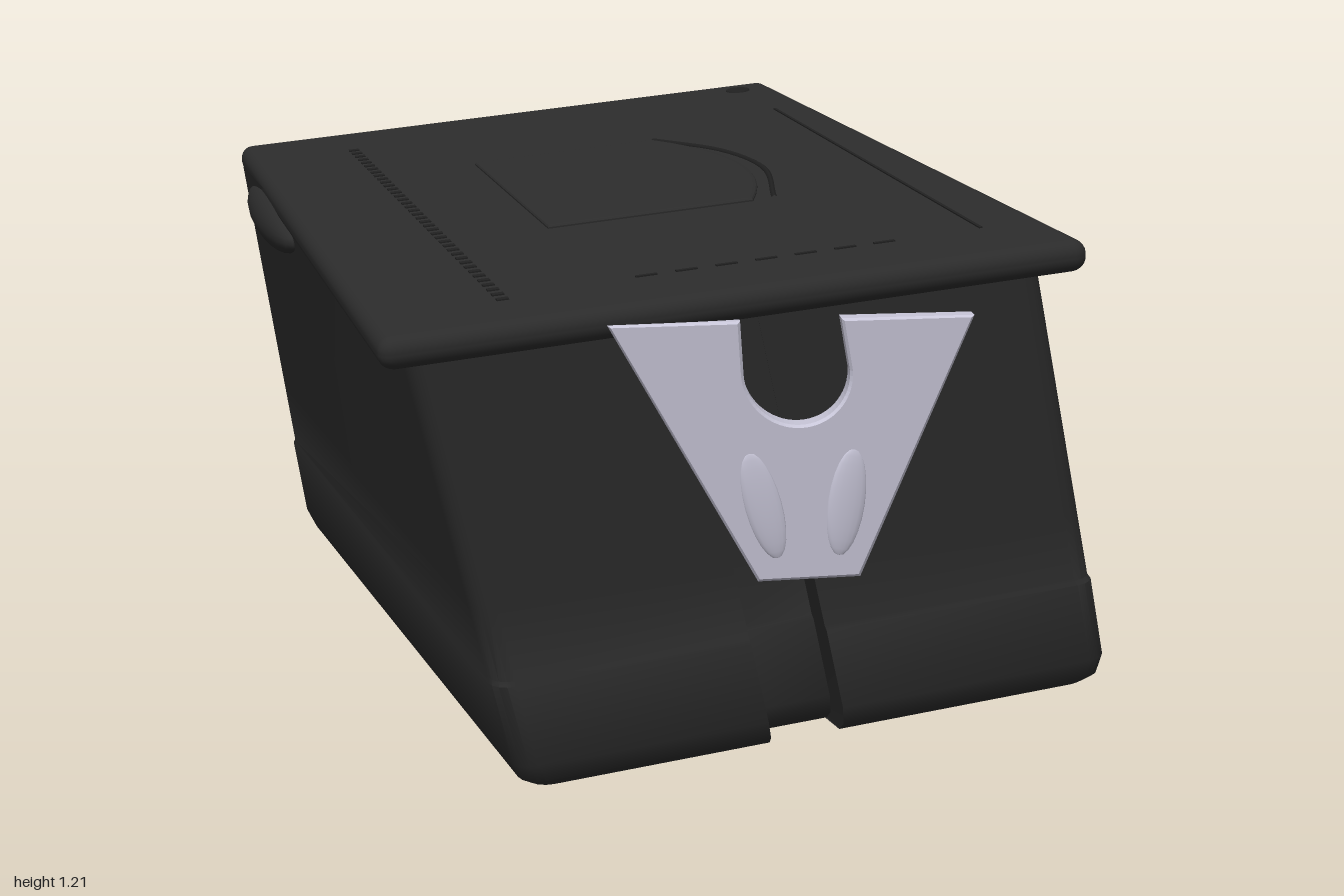
import * as THREE from 'three';
import { toCreasedNormals } from 'three/addons/utils/BufferGeometryUtils.js';
import { RoundedBoxGeometry } from 'three/addons/geometries/RoundedBoxGeometry.js';

const V = (x, y, z) => new THREE.Vector3(x, y, z);

// Body corners: front right, front left, back left, back right
const TOP = [V(-0.40, 0.82, 0.95), V(0.73, 0.95, 0.69), V(0.30, 1.16, -0.92), V(-0.88, 1.03, -0.61)];
const BOTTOM = [V(-0.20, -0.01, 0.82), V(0.905, 0.125, 0.525), V(0.45, 0.30, -1.015), V(-0.75, 0.195, -0.68)];

// Point in the tilted box: u and w run -1..1 across it, v runs 0..1 downwards
function bodyPoint(u, w, v) {
  const c = TOP.map((t, i) => t.clone().lerp(BOTTOM[i], v));
  const front = c[0].lerp(c[1], (u + 1) / 2);
  const back = c[3].lerp(c[2], (u + 1) / 2);
  return back.lerp(front, (w + 1) / 2);
}

// Rounded rectangle with a notch in its front and back edges
function outline(notch) {
  const pts = [];
  const corner = (sx, sz, start) => {
    for (let i = 0; i <= 4; i++) {
      const a = start - (i / 4) * Math.PI / 2;
      pts.push([sx * 0.93 + 0.07 * Math.cos(a), sz * 0.95 + 0.05 * Math.sin(a)]);
    }
  };
  const cut = (c, s) => {
    const h = 0.125 * s;
    pts.push([c - h, s], [c - h, s * (1 - notch)], [c + h, s * (1 - notch)], [c + h, s]);
  };
  corner(-1, 1, Math.PI);
  cut(-0.05, 1);
  corner(1, 1, Math.PI / 2);
  corner(1, -1, 0);
  cut(0, -1);
  corner(-1, -1, -Math.PI / 2);
  return pts;
}

function bodyGeometry() {
  // height, scale, notch depth; the last two rings form the underside recess
  const levels = [[-0.02, 1, 0.001], [0.57, 1, 0.001], [0.58, 1, 0.08], [0.735, 1, 0.08], [0.745, 1.006, 0.08],
    [0.93, 1.004, 0.08], [0.975, 0.985, 0.08], [1, 0.95, 0.08], [1, 0.86, 0.08], [0.97, 0.82, 0.08]];
  const pos = [], index = [];
  let n = 0;
  for (const [v, s, notch] of levels) {
    const ring = outline(notch);
    n = ring.length;
    for (const [u, w] of ring) pos.push(...bodyPoint(u * s, w * s, v).toArray());
  }
  for (let l = 0; l < levels.length - 1; l++) {
    for (let i = 0; i < n; i++) {
      const a = l * n + i, b = l * n + (i + 1) % n;
      index.push(a + n, b + n, b, a + n, b, a);
    }
  }
  const last = (levels.length - 1) * n, centre = pos.length / 3;
  pos.push(...bodyPoint(0, 0, 0.97).toArray());
  for (let i = 0; i < n; i++) index.push(centre, last + (i + 1) % n, last + i);
  const g = new THREE.BufferGeometry();
  g.setAttribute('position', new THREE.Float32BufferAttribute(pos, 3));
  g.setIndex(index);
  return toCreasedNormals(g, 0.6);
}

// Rounded slab whose back edge is a little narrower and skewed
function lidGeometry() {
  const g = new RoundedBoxGeometry(1.295, 0.06, 1.775, 3, 0.028);
  const p = g.attributes.position;
  for (let i = 0; i < p.count; i++) {
    const t = 0.5 - p.getZ(i) / 1.775;
    p.setX(i, p.getX(i) - t * (0.035 + 0.035 * p.getX(i)));
  }
  return g;
}

// V-shaped plate with a rounded cut-out in its top edge
function claspShape() {
  const s = new THREE.Shape();
  s.moveTo(-0.32, 0);
  s.lineTo(-0.09, -0.465);
  s.lineTo(0.09, -0.465);
  s.lineTo(0.32, 0);
  s.lineTo(0.09, 0);
  s.lineTo(0.1, -0.09);
  s.absarc(0, -0.09, 0.1, 0, Math.PI, true);
  s.lineTo(-0.1, 0);
  s.closePath();
  return s;
}

export function createModel() {
  const model = new THREE.Group();
  const charcoal = new THREE.MeshStandardMaterial({ color: 0x2b2b2b });
  charcoal.name = 'charcoal';
  const silver = new THREE.MeshStandardMaterial({ color: 0xc8c6d8 });
  silver.name = 'silver';
  const black = new THREE.MeshStandardMaterial({ color: 0x202020 });
  black.name = 'black';

  const add = (parent, name, geo, mat, x = 0, y = 0, z = 0) => {
    const m = new THREE.Mesh(geo, mat);
    m.name = name;
    m.position.set(x, y, z);
    parent.add(m);
    return m;
  };

  add(model, 'body', bodyGeometry(), charcoal);

  // Frame of the tilted lid
  const right = V(1.22, 0.14, -0.30).normalize();
  const up = right.clone().cross(V(-0.45, 0.23, -1.66)).normalize();
  const front = right.clone().cross(up);
  const tilt = new THREE.Matrix4().makeBasis(right, up, front);

  // Lid, with its origin on the upper surface
  const lid = new THREE.Group();
  lid.name = 'lid';
  lid.quaternion.setFromRotationMatrix(tilt);
  lid.position.set(-0.035, 1.036, 0.014);
  model.add(lid);
  add(lid, 'lidPlate', lidGeometry(), charcoal, 0, -0.03, 0);

  // Raised panel with one curved side, beside a shallow ridge
  const panel = new THREE.Shape();
  panel.moveTo(-0.2, -0.265);
  panel.lineTo(0.2, -0.265);
  panel.quadraticCurveTo(0.35, 0.05, 0.17, 0.36);
  panel.lineTo(-0.21, 0.36);
  panel.closePath();
  const panelGeo = new THREE.ExtrudeGeometry(panel, {
    depth: 0.003, bevelThickness: 0.004, bevelSize: 0.008, bevelSegments: 2, curveSegments: 12 });
  panelGeo.rotateX(-Math.PI / 2);
  add(lid, 'lidPanel', panelGeo, charcoal);
  const ridge = new THREE.CatmullRomCurve3([V(0.18, 0, -0.38), V(0.28, 0, -0.2), V(0.31, 0, 0), V(0.25, 0, 0.27)]);
  add(lid, 'panelRidge', new THREE.TubeGeometry(ridge, 20, 0.006, 6), black);

  // Stitches, seam lines and peg on the lid
  const stitch = new THREE.BoxGeometry(0.022, 0.005, 0.014);
  for (let i = 0; i < 40; i++) add(lid, 'stitch', stitch, black, -0.43 + i * 0.0008, 0, -0.67 + i * 0.036);
  const dash = new THREE.BoxGeometry(0.04, 0.005, 0.008);
  for (let i = 0; i < 7; i++) add(lid, 'frontStitch', dash, black, -0.13 + i * 0.075, 0, 0.71);
  add(lid, 'sideSeam', new THREE.BoxGeometry(0.006, 0.005, 1.25), black, 0.51, 0, 0.08);
  add(lid, 'peg', new THREE.CylinderGeometry(0.026, 0.03, 0.006, 16), black, 0.5, 0, -0.8);

  // Clasps: plates sheared to lie on the sloping front and back faces
  const clasp = (name, dir, cx, top, width, thickness, plane) => {
    const group = new THREE.Group();
    group.name = name;
    model.add(group);
    const fit = (geo) => {
      const p = geo.attributes.position;
      for (let i = 0; i < p.count; i++) {
        const x = cx + dir * width * p.getX(i) - 0.075 * p.getY(i);
        const y = top + p.getY(i);
        p.setXYZ(i, x, y, plane(x, y) + dir * thickness * p.getZ(i));
      }
      geo.computeVertexNormals();
      return geo;
    };
    const plate = new THREE.ExtrudeGeometry(claspShape(), {
      depth: 0.06, bevelThickness: 0.006, bevelSize: 0.005, bevelSegments: 1, curveSegments: 16 });
    plate.translate(0, 0, -0.01);
    add(group, 'claspPlate', fit(plate), silver);
    // Teardrop bosses
    for (const s of [-1, 1]) {
      const drop = new THREE.SphereGeometry(1, 16, 12);
      drop.scale(0.034, 0.1, 0.01);
      drop.rotateZ(-s * 0.2);
      drop.translate(s * 0.075, -0.33, 0.055);
      add(group, 'claspBoss', fit(drop), silver);
    }
  };
  clasp('frontClasp', 1, 0.275, 0.857, 1, 1, (x, y) => 0.768 - 0.25 * x + 0.11 * y);
  clasp('backClasp', -1, -0.28, 0.975, 1.09, 1.4, (x, y) => -0.875 - 0.277 * x + 0.02 * y);

  // Swelling below the lid on the right side
  const grip = add(model, 'sideGrip', new THREE.SphereGeometry(1, 20, 14), charcoal, -0.77, 0.95, -0.3);
  grip.quaternion.copy(lid.quaternion);
  grip.scale.set(0.045, 0.05, 0.28);

  // Round stepped foot under the body
  const profile = [[0, -0.15], [0.08, -0.148], [0.1, -0.135], [0.15, -0.145], [0.185, -0.13], [0.2, -0.09],
    [0.22, -0.06], [0.28, -0.05], [0.3, 0]].map(([r, y]) => new THREE.Vector2(r, y));
  const foot = add(model, 'foot', new THREE.LatheGeometry(profile, 32), charcoal, 0.1, 0.2, -0.09);
  foot.quaternion.copy(lid.quaternion);

  return model;
}
